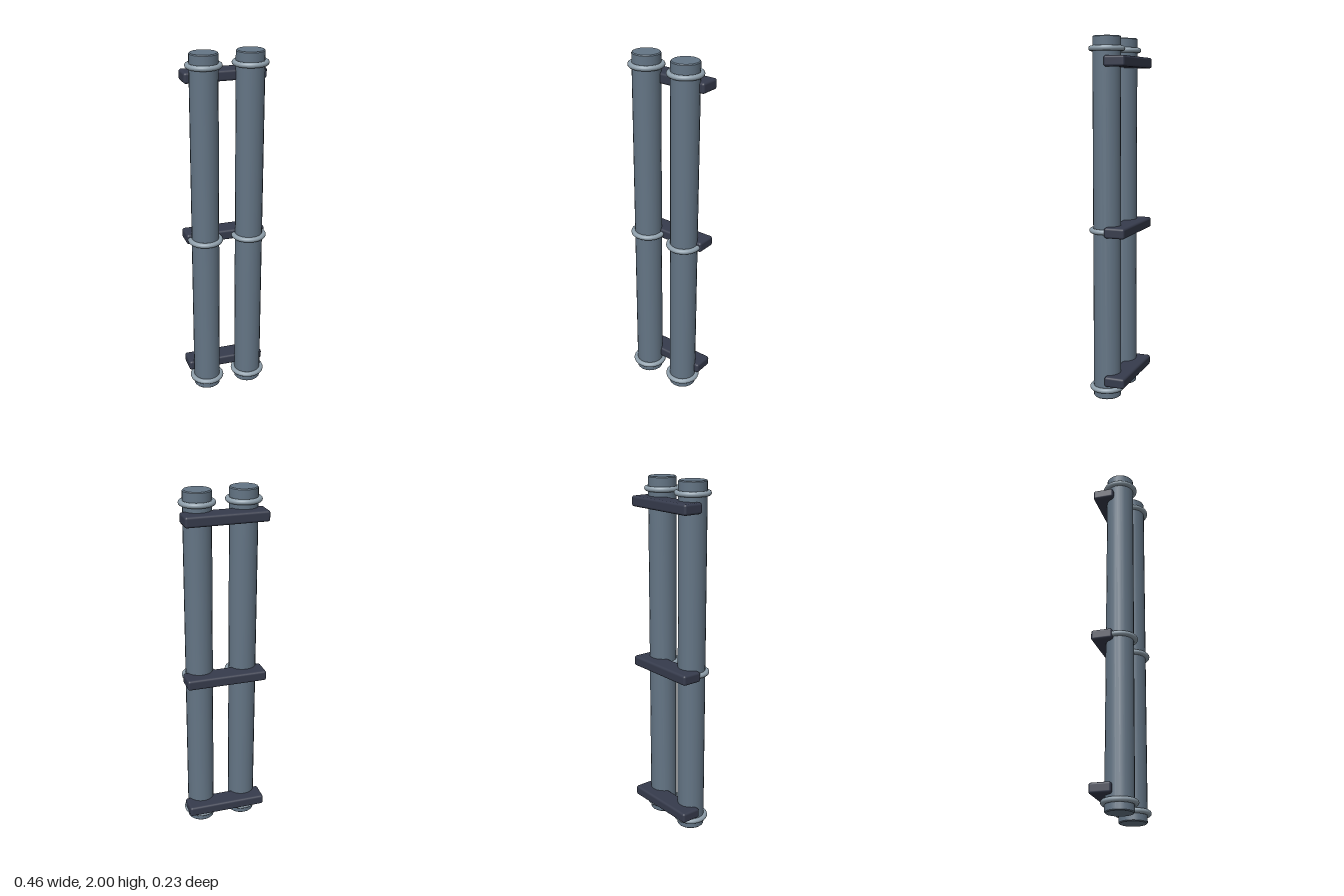
import * as THREE from 'three';
import { RoundedBoxGeometry } from 'three/addons/geometries/RoundedBoxGeometry.js';
import { toCreasedNormals } from 'three/addons/utils/BufferGeometryUtils.js';

const PIPE_X = 0.127, PIPE_Z = 0.018, PIPE_R = 0.077;

function material(name, color) {
  const m = new THREE.MeshStandardMaterial({ color });
  m.name = name;
  return m;
}

export function createModel() {
  const group = new THREE.Group();
  group.name = 'twinPipes';
  const pipeMat = material('blue grey pipe', 0x647585);
  const ringMat = material('light grey ring', 0x8f9fab);
  const bracketMat = material('dark slate bracket', 0x363b4c);

  function add(name, geometry, mat, x, y, z) {
    const mesh = new THREE.Mesh(geometry, mat);
    mesh.name = name;
    mesh.position.set(x, y, z);
    group.add(mesh);
  }

  // Pipe with slightly bevelled closed ends
  const b = 0.005;
  const profile = [[0, 0], [PIPE_R - b, 0], [PIPE_R, b], [PIPE_R, 2 - b], [PIPE_R - b, 2], [0, 2]]
    .map(([r, y]) => new THREE.Vector2(r, y));
  const pipe = toCreasedNormals(new THREE.LatheGeometry(profile, 20), 0.6);

  // Collar rings lie flat around the pipes
  const ring = new THREE.TorusGeometry(0.084, 0.0145, 12, 40);
  ring.rotateX(Math.PI / 2);

  for (const [side, sx] of [['left', 1], ['right', -1]]) {
    add(side + 'Pipe', pipe, pipeMat, sx * PIPE_X, 0, PIPE_Z);
    for (const y of [0.053, 0.953, 1.934]) add(side + 'Ring', ring, ringMat, sx * PIPE_X, y, PIPE_Z);
  }

  // Wall brackets joining the pipes at the back
  const bracket = new RoundedBoxGeometry(0.456, 0.058, 0.118, 3, 0.013);
  for (const y of [0.112, 0.953, 1.866]) add('bracket', bracket, bracketMat, 0, y, -0.059);

  return group;
}
